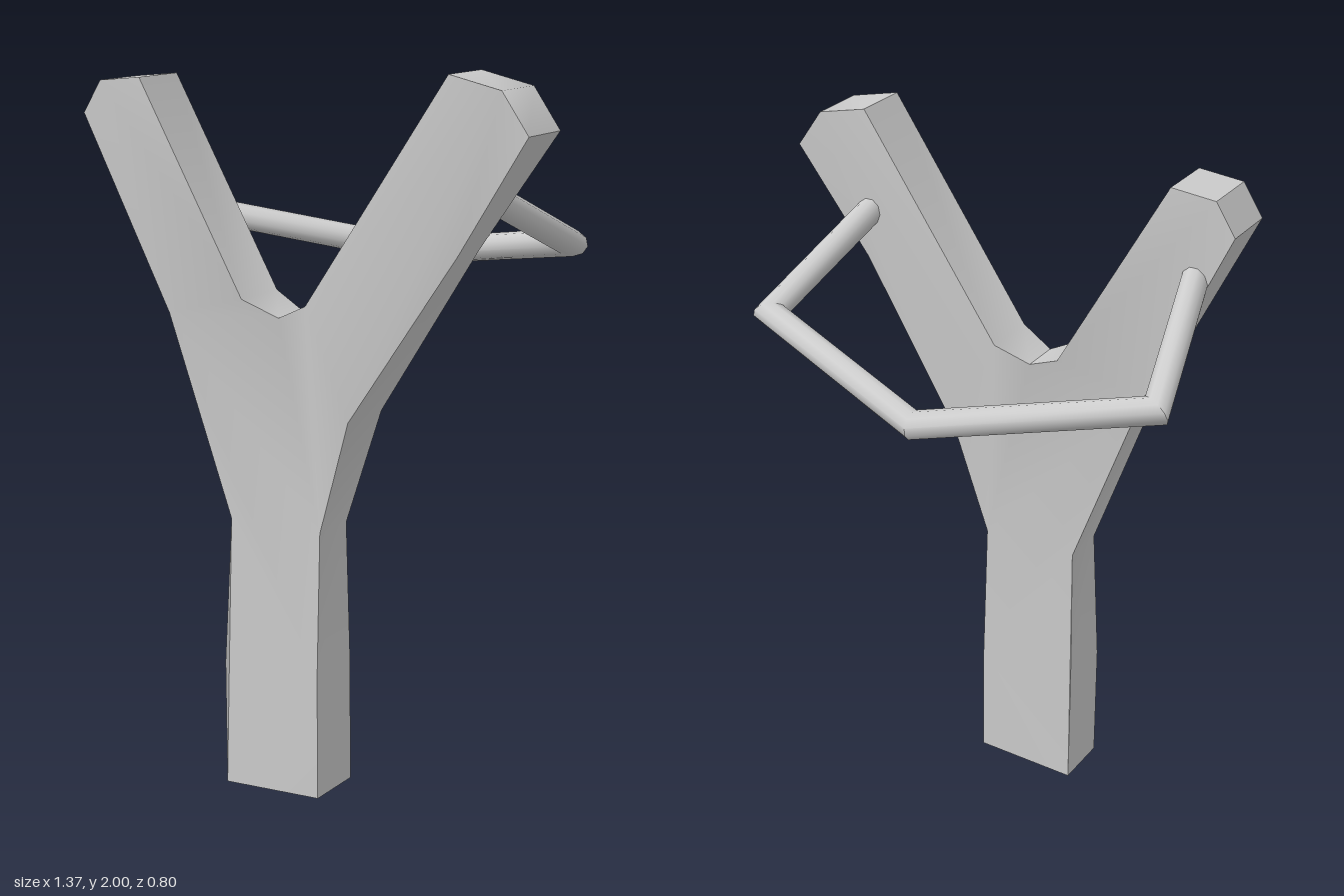
import * as THREE from 'three';
import { toCreasedNormals } from 'three/addons/utils/BufferGeometryUtils.js';

const material = new THREE.MeshStandardMaterial({ color: 0xcccccc });

// Forked handle: outline points as [x, y, inset of the front and back edge]
function createFork() {
  const outline = [
    [-0.23, 0.005, 0], [0.07, 0.02, 0], [0.07, 0.36, 0], [0.07, 0.77, 0.018], // grip
    [0.17, 1.09, 0], [0.475, 1.55, 0.03], [0.682, 1.86, 0],                    // left arm, outside
    [0.607, 1.967, 0], [0.46, 2.0, 0],                                        // left tip
    [0.04, 1.385, 0], [-0.06, 1.34, 0.025], [-0.16, 1.385, 0],                // crotch
    [-0.48, 1.953, 0], [-0.61, 1.94, 0], [-0.668, 1.85, 0],                    // right tip
    [-0.415, 1.32, 0.025], [-0.215, 0.77, 0.018], [-0.23, 0.36, 0],             // right side
  ];
  const shape = new THREE.Shape(outline.map(([x, y]) => new THREE.Vector2(x, y)));
  const depth = 0.17;
  const geometry = new THREE.ExtrudeGeometry(shape, { depth, bevelEnabled: false });
  geometry.translate(0, 0, -depth / 2);

  // Thin the fork at the inset outline points
  const pos = geometry.attributes.position;
  for (let i = 0; i < pos.count; i++) {
    const match = outline.find(([x, y]) => Math.hypot(x - pos.getX(i), y - pos.getY(i)) < 0.001);
    const z = pos.getZ(i);
    if (match) pos.setZ(i, z - Math.sign(z) * match[2]);
  }
  geometry.translate(0, 0, 0.315);
  const mesh = new THREE.Mesh(toCreasedNormals(geometry, 0.8), material);
  mesh.name = 'forkedHandle';
  return mesh;
}

// Elastic band: a round tube with mitred corners, lying in one tilted plane
function createBand() {
  const slope = 0.475, radius = 0.038, sides = 10;
  const path = [[0.443, 0.28], [0.53, -0.15], [-0.06, -0.362], [-0.648, -0.15], [-0.547, 0.28]]
    .map(([x, z]) => new THREE.Vector3(x, 1.59 + slope * z, z));
  const normal = new THREE.Vector3(0, 1, -slope).normalize();
  const last = path.length - 1;
  const positions = [], indices = [];

  path.forEach((p, i) => {
    const before = p.clone().sub(path[Math.max(i - 1, 0)]).normalize();
    const after = path[Math.min(i + 1, last)].clone().sub(p).normalize();
    const tangent = before.clone().add(after).normalize();
    const along = i < last ? after : before;
    const across = new THREE.Vector3().crossVectors(normal, tangent).divideScalar(tangent.dot(along));
    for (let s = 0; s < sides; s++) {
      const a = (s / sides) * Math.PI * 2;
      const v = p.clone()
        .addScaledVector(across, radius * Math.cos(a))
        .addScaledVector(normal, radius * Math.sin(a));
      positions.push(v.x, v.y, v.z);
    }
  });
  for (let i = 0; i < last; i++) {
    for (let s = 0; s < sides; s++) {
      const a = i * sides + s, b = i * sides + (s + 1) % sides;
      indices.push(a, b, a + sides, b, b + sides, a + sides);
    }
  }
  // End caps
  for (let s = 1; s < sides - 1; s++) {
    const e = last * sides;
    indices.push(0, s + 1, s, e, e + s, e + s + 1);
  }

  const geometry = new THREE.BufferGeometry();
  geometry.setAttribute('position', new THREE.Float32BufferAttribute(positions, 3));
  geometry.setIndex(indices);
  const bandMaterial = material.clone();
  bandMaterial.side = THREE.DoubleSide;
  const mesh = new THREE.Mesh(toCreasedNormals(geometry, 0.66), bandMaterial);
  mesh.name = 'elasticBand';
  return mesh;
}

export function createModel() {
  const group = new THREE.Group();
  group.name = 'slingshot';
  group.add(createFork(), createBand());
  return group;
}
